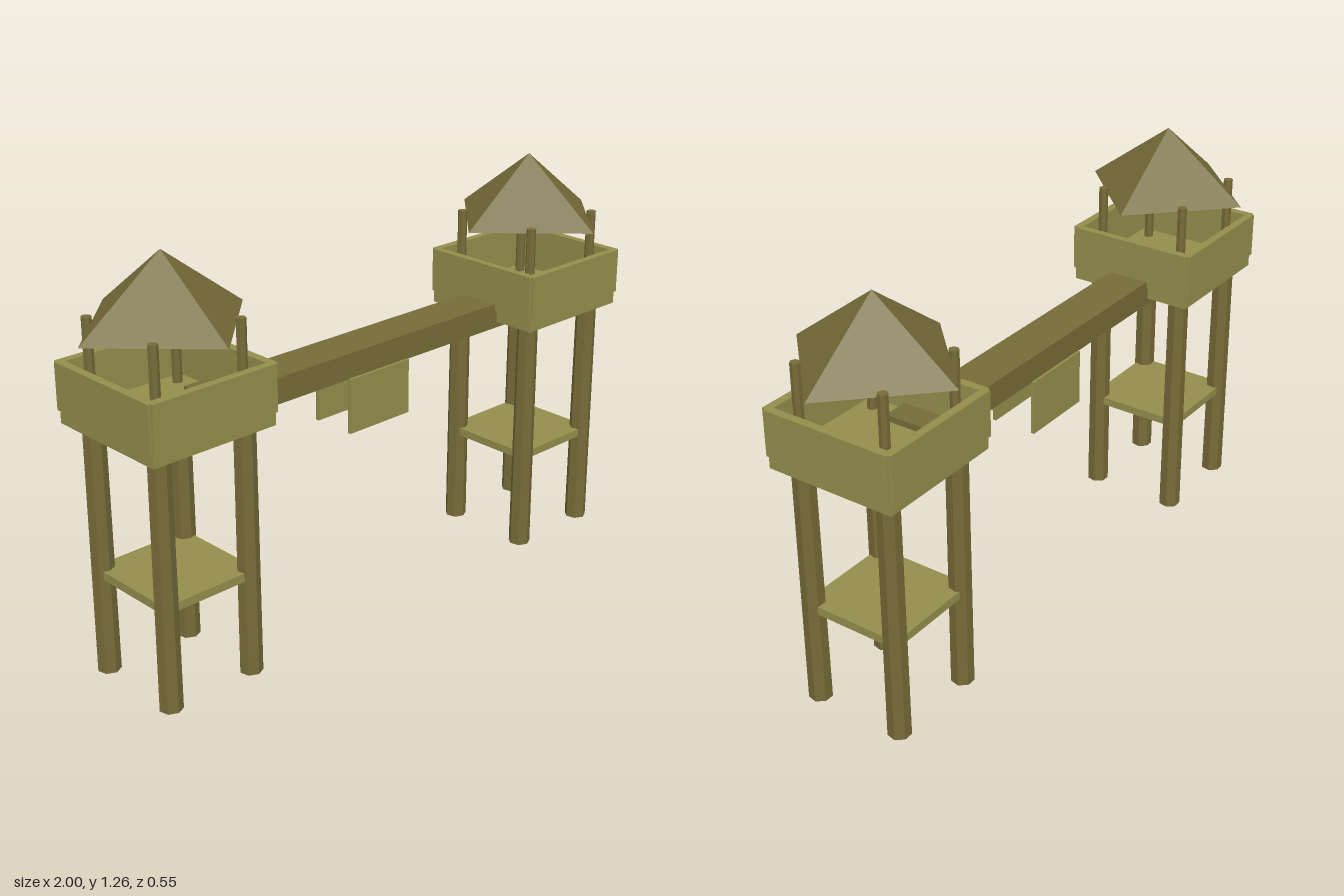
import * as THREE from 'three';

const lightWood = new THREE.MeshStandardMaterial({ color: 0x948d4c });
const darkWood = new THREE.MeshStandardMaterial({ color: 0x766b38 });
lightWood.name = 'lightWood';
darkWood.name = 'darkWood';

function add(parent, name, geometry, material, x, y, z) {
  const mesh = new THREE.Mesh(geometry, material);
  mesh.name = name;
  mesh.position.set(x, y, z);
  parent.add(mesh);
  return mesh;
}

// Box given by its size, bottom height and centre
function box(parent, name, material, [w, h, d], x, bottom, z) {
  return add(parent, name, new THREE.BoxGeometry(w, h, d), material, x, bottom + h / 2, z);
}

// Faceted round post between two heights
function post(parent, name, rTop, rBottom, y0, y1, x, z) {
  const g = new THREE.CylinderGeometry(rTop, rBottom, y1 - y0, 7).toNonIndexed();
  g.computeVertexNormals();
  add(parent, name, g, darkWood, x, (y0 + y1) / 2, z);
}

function createTower(name) {
  const tower = new THREE.Group();
  tower.name = name;

  // Legs and thin roof posts at the four corners
  for (const sx of [-1, 1]) {
    for (const sz of [-1, 1]) {
      post(tower, 'leg', 0.033, 0.035, 0, 0.78, sx * 0.145, sz * 0.145);
      post(tower, 'roofPost', 0.015, 0.015, 0.8, 1.078, sx * 0.145, sz * 0.145);
    }
  }

  // Lower shelf and lookout floor
  box(tower, 'lowerShelf', lightWood, [0.324, 0.026, 0.324], 0, 0.304, 0);
  box(tower, 'floor', lightWood, [0.413, 0.042, 0.413], 0, 0.769, 0);

  // Parapet walls, leaving small notches at the corners
  for (const s of [-1, 1]) {
    box(tower, 'parapetWall', lightWood, [0.413, 0.14, 0.025], 0, 0.81, s * 0.2025);
    box(tower, 'parapetWall', lightWood, [0.025, 0.14, 0.413], s * 0.2025, 0.81, 0);
  }

  // Pyramid roof with its corners on the axes
  const roof = new THREE.ConeGeometry(0.2725, 0.205, 4).toNonIndexed();
  roof.computeVertexNormals();
  add(tower, 'roof', roof, darkWood, 0, 1.1625, 0);
  return tower;
}

export function createModel() {
  const model = new THREE.Group();
  model.name = 'twinWatchtowers';

  for (const s of [-1, 1]) {
    const tower = createTower(s > 0 ? 'leftTower' : 'rightTower');
    tower.position.x = s * 0.7275;
    model.add(tower);
  }

  // Bridge beam running into both lookouts
  box(model, 'bridge', darkWood, [1.236, 0.08, 0.135], 0, 0.75, 0);

  // Boards hanging from both sides of the bridge
  for (const s of [-1, 1]) {
    box(model, 'hangingBoard', lightWood, [0.242, 0.173, 0.011], 0, 0.579, s * 0.07);
  }
  return model;
}
